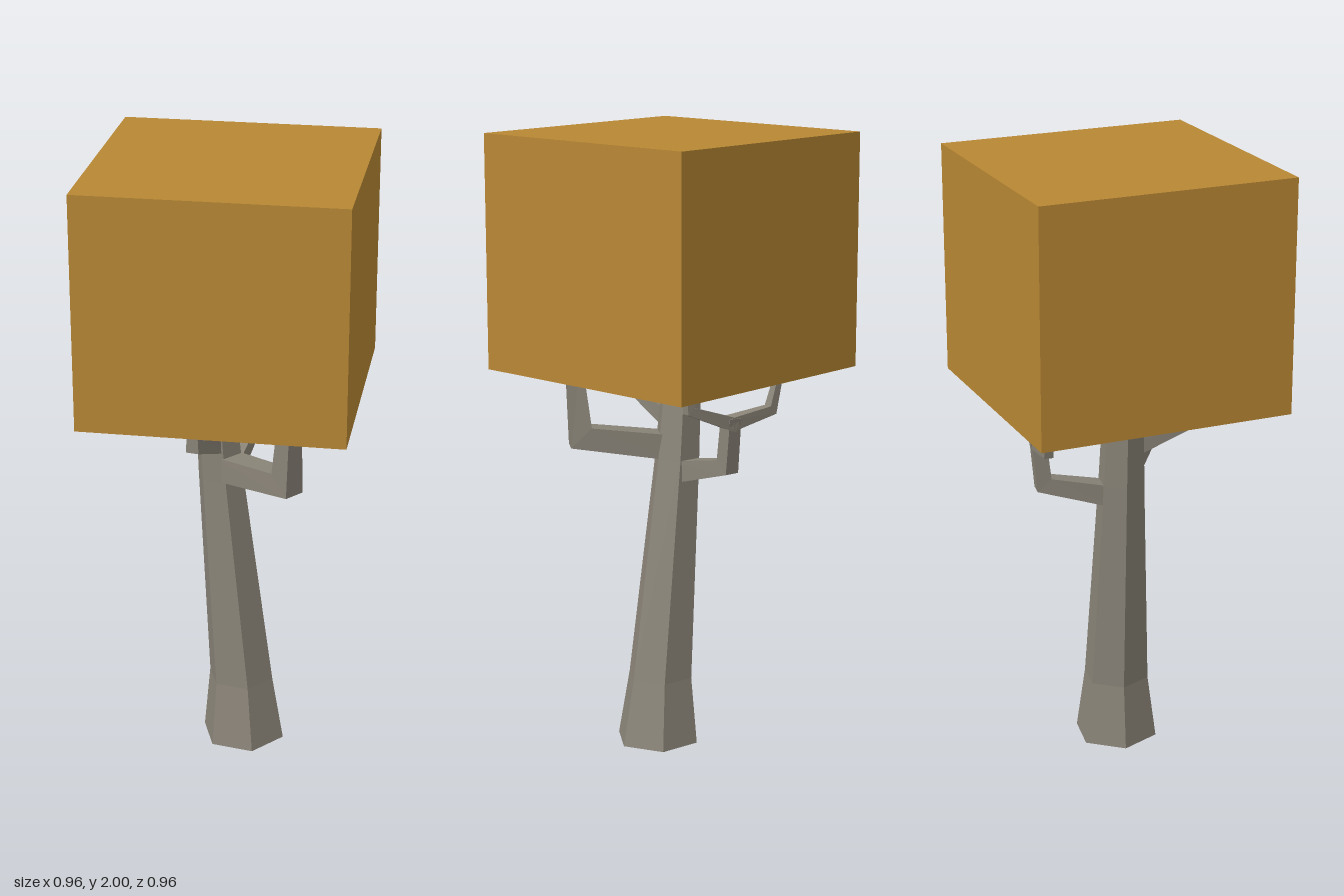
import * as THREE from 'three';

const bark = new THREE.MeshStandardMaterial({ color: 0x8a8478, flatShading: true });
const leaf = new THREE.MeshStandardMaterial({ color: 0xb88734, flatShading: true });

// Closed solid through rings of points, each ring counter-clockwise seen from the tip
function loft(name, rings) {
  const pos = [];
  const tri = (...pts) => pts.forEach((p) => pos.push(p.x, p.y, p.z));
  const n = rings[0].length;
  for (let k = 0; k < rings.length - 1; k++) {
    const a = rings[k], b = rings[k + 1];
    for (let i = 0; i < n; i++) {
      const j = (i + 1) % n;
      tri(a[i], a[j], b[j]);
      tri(a[i], b[j], b[i]);
    }
  }
  const first = rings[0], last = rings[rings.length - 1];
  for (let i = 1; i < n - 1; i++) {
    tri(first[0], first[i + 1], first[i]);
    tri(last[0], last[i], last[i + 1]);
  }
  const geo = new THREE.BufferGeometry();
  geo.setAttribute('position', new THREE.Float32BufferAttribute(pos, 3));
  geo.computeVertexNormals();
  const mesh = new THREE.Mesh(geo, bark);
  mesh.name = name;
  return mesh;
}

// Horizontal hexagon
function hexagon([x, y, z, r]) {
  return Array.from({ length: 6 }, (_, i) => {
    const a = (i * Math.PI) / 3;
    return new THREE.Vector3(x + r * Math.cos(a), y, z - r * Math.sin(a));
  });
}

// Square-section limb with mitred elbows; each node is [x, y, z, half thickness]
function limb(name, nodes) {
  const p = nodes.map(([x, y, z]) => new THREE.Vector3(x, y, z));
  const up = new THREE.Vector3(0, 1, 0);
  const side = up.clone().cross(p[1].clone().sub(p[0])).normalize();
  const dirs = p.slice(1).map((q, i) => q.clone().sub(p[i]).normalize());
  const rings = p.map((c, i) => {
    const before = dirs[Math.max(i - 1, 0)];
    const after = dirs[Math.min(i, dirs.length - 1)];
    const t = before.clone().add(after).normalize();
    const normal = t.clone().cross(side).normalize();
    const r = nodes[i][3], stretch = r / Math.max(t.dot(after), 0.5);
    return [[1, 1], [-1, 1], [-1, -1], [1, -1]].map(([u, v]) =>
      c.clone().addScaledVector(side, u * r).addScaledVector(normal, v * stretch));
  });
  return loft(name, rings);
}

export function createModel() {
  const tree = new THREE.Group();
  tree.name = 'tree';

  // Block of foliage, slightly turned
  const foliage = new THREE.Mesh(new THREE.BoxGeometry(0.832, 0.75, 0.832), leaf);
  foliage.name = 'foliage';
  foliage.position.y = 1.625;
  foliage.rotation.y = 0.169;
  tree.add(foliage);

  // Leaning trunk with a flared foot
  tree.add(loft('trunk', [
    [0.05, 0, 0.017, 0.14],
    [0.04, 0.22, 0.015, 0.11],
    [-0.03, 0.95, 0.015, 0.077],
    [-0.055, 1.3, 0.017, 0.065],
  ].map(hexagon)));

  // Main branches
  tree.add(limb('leftBranch', [
    [-0.03, 0.985, 0.02, 0.042], [0.243, 1.028, 0.172, 0.036], [0.257, 1.3, 0.19, 0.024],
  ]));
  tree.add(limb('backBranch', [
    [-0.03, 0.905, 0, 0.036], [-0.03, 0.967, -0.243, 0.025], [-0.03, 1.13, -0.26, 0.023],
  ]));
  tree.add(limb('frontBranch', [
    [-0.035, 1.06, 0.02, 0.03], [-0.035, 1.147, 0.252, 0.021], [-0.035, 1.29, 0.258, 0.012],
  ]));

  // Twigs forking from the back branch
  tree.add(limb('rightTwig', [
    [-0.02, 1.11, -0.26, 0.022], [-0.192, 1.133, -0.26, 0.015], [-0.233, 1.27, -0.26, 0.009],
  ]));
  tree.add(limb('leftTwig', [
    [-0.04, 1.105, -0.26, 0.022], [0.138, 1.172, -0.26, 0.014], [0.148, 1.27, -0.26, 0.008],
  ]));
  return tree;
}
